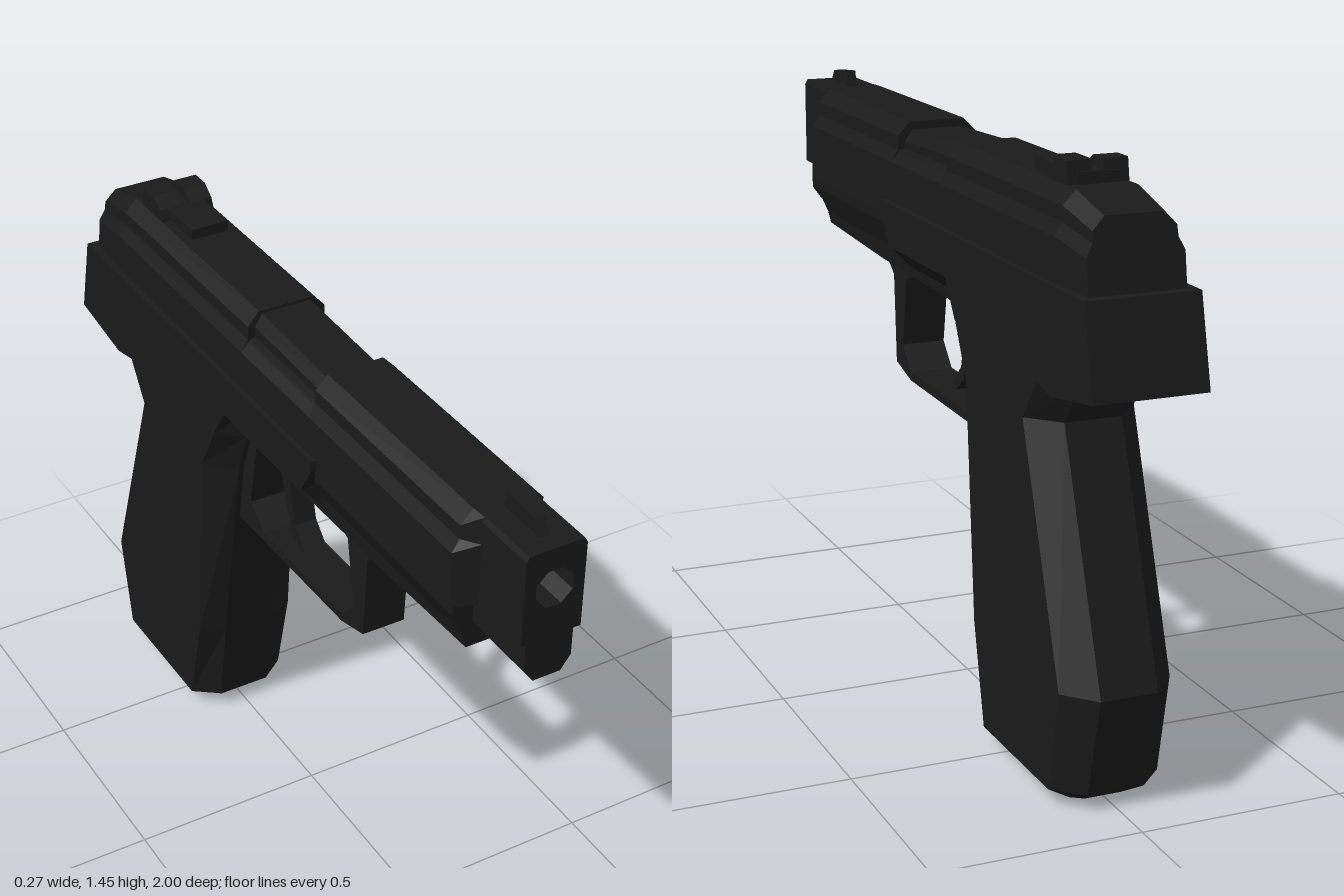
import * as THREE from 'three';

const material = new THREE.MeshStandardMaterial({ color: 0x1a1a1a, flatShading: true });

// Skin a list of equal-length rings of [x, y, z] points and cap both ends
function loft(rings) {
  const tris = [];
  const n = rings[0].length;
  const mid = (r) => [0, 1, 2].map((k) => r.reduce((s, p) => s + p[k], 0) / n);
  const first = rings[0], last = rings[rings.length - 1];
  const c0 = mid(first), c1 = mid(last);
  for (let i = 0; i < n; i++) {
    const j = (i + 1) % n;
    for (let r = 0; r + 1 < rings.length; r++) {
      const a = rings[r], b = rings[r + 1];
      tris.push([a[i], a[j], b[j]], [a[i], b[j], b[i]]);
    }
    tris.push([c0, first[j], first[i]], [c1, last[i], last[j]]);
  }
  // Turn the faces outward
  let volume = 0;
  for (const [a, b, c] of tris) {
    volume += new THREE.Vector3(...a).dot(new THREE.Vector3(...b).cross(new THREE.Vector3(...c)));
  }
  if (volume < 0) tris.forEach((t) => t.reverse());
  const geo = new THREE.BufferGeometry();
  geo.setAttribute('position', new THREE.Float32BufferAttribute(tris.flat(2), 3));
  geo.computeVertexNormals();
  return geo;
}

// Mirror half a section of [x, y] points into a full ring, z may depend on y
function section(half, z) {
  const at = typeof z === 'function' ? z : () => z;
  const right = half.map(([x, y]) => [x, y, at(y)]);
  return [...right, ...right.map(([x, y, d]) => [-x, y, d]).reverse()];
}

// Extrude a [z, y] side outline across x, centred
function sidePlate(points, halfWidth, hole) {
  const toShape = (pts, Type) => new Type(pts.map(([z, y]) => new THREE.Vector2(-z, y)));
  const shape = toShape(points, THREE.Shape);
  if (hole) shape.holes.push(toShape(hole, THREE.Path));
  const geo = new THREE.ExtrudeGeometry(shape, { depth: halfWidth * 2, bevelEnabled: false });
  geo.translate(0, 0, -halfWidth);
  geo.rotateY(Math.PI / 2);
  return geo;
}

export function createModel() {
  const group = new THREE.Group();
  const add = (name, geo) => {
    const mesh = new THREE.Mesh(geo, material);
    mesh.name = name;
    group.add(mesh);
    return mesh;
  };

  // Slide: stepped section, lowered at the ejection port, sloping at the rear
  const full = [[0.123, 1.16], [0.123, 1.3], [0.104, 1.33], [0.104, 1.365], [0.073, 1.398]];
  const port = [[0.123, 1.16], [0.123, 1.3], [0.104, 1.322], [0.1, 1.328], [0.073, 1.335]];
  const nose = [[0.075, 1.17], [0.075, 1.3], [0.075, 1.33], [0.075, 1.36], [0.07, 1.398]];
  const tail = [[0.115, 1.16], [0.115, 1.28], [0.1, 1.31], [0.098, 1.335], [0.07, 1.365]];
  add('slideFront', loft([section(nose, 0.84), section(full, 0.8), section(full, 0.2)]));
  add('slidePort', loft([section(port, 0.2), section(port, -0.12)]));
  add('slideRear', loft([
    section(full, -0.12), section(full, -0.77),
    section(tail, (y) => -0.9 - (1.365 - y) * 0.15),
  ]));

  // Barrel hood showing in the port
  add('barrelHood', loft([
    section([[0.085, 1.3], [0.085, 1.35], [0.065, 1.378]], 0.2),
    section([[0.085, 1.3], [0.085, 1.36], [0.065, 1.39]], -0.12),
  ]));

  // Muzzle block with a bored hole
  const muzzle = new THREE.Shape([
    [-0.075, 1.17], [0.075, 1.17], [0.075, 1.385], [0.068, 1.398], [-0.068, 1.398], [-0.075, 1.385],
  ].map((p) => new THREE.Vector2(...p)));
  const bore = new THREE.Path();
  for (let i = 0; i < 8; i++) {
    const a = (i / 8) * Math.PI * 2 + Math.PI / 8;
    bore[i ? 'lineTo' : 'moveTo'](Math.cos(a) * 0.05, 1.296 + Math.sin(a) * 0.05);
  }
  muzzle.holes.push(bore);
  const muzzleGeo = new THREE.ExtrudeGeometry(muzzle, { depth: 0.18, bevelEnabled: false });
  muzzleGeo.translate(0, 0, 0.82);
  add('muzzleBlock', muzzleGeo);

  // Spring housing under the muzzle
  const housing = [[0.06, 1.175], [0.06, 1.095], [0.035, 1.06]];
  add('springHousing', loft([section(housing, 0.995), section(housing, 0.78)]));

  // Dust cover running back under the slide
  const cover = (bottom) => [[0.115, 1.17], [0.113, 1.13], [0.082, 1.06], [0.075, bottom]];
  add('dustCover', loft([
    section(cover(1.03), 0.8), section(cover(1.012), 0.4), section(cover(1), -0.2),
  ]));

  // Frame body with the rear overhang
  add('frame', sidePlate([
    [0.235, 1.2], [0.235, 1.175], [0.185, 1.09], [-0.19, 1.09], [-0.25, 1],
    [-0.71, 0.972], [-0.79, 0.955], [-1, 0.99], [-0.95, 1.2],
  ], 0.137));
  const under = [[0.136, 1.095], [0.082, 1.035]];
  add('frameUnderside', loft([section(under, 0.19), section(under, -0.24)]));

  // Grip: eight-sided rings of [yFront, front, frontEdge, yBack, backEdge, back, inner, outer]
  const grip = [
    [0, -0.43, -0.45, 0, -0.78, -0.8, 0.045, 0.075],
    [0.04, -0.38, -0.43, 0.04, -0.8, -0.865, 0.07, 0.137],
    [0.29, -0.345, -0.37, 0.29, -0.85, -0.925, 0.07, 0.137],
    [0.87, -0.245, -0.32, 0.87, -0.645, -0.72, 0.07, 0.137],
    [1, -0.2, -0.25, 0.965, -0.71, -0.79, 0.07, 0.136],
    [1.09, -0.18, -0.2, 1.09, -0.75, -0.8, 0.07, 0.13],
  ].map(([yf, f, fe, yb, be, b, inner, outer]) => {
    const right = [[inner, yf, f], [outer, yf, fe], [outer, yb, be], [inner, yb, b]];
    return [...right, ...right.map(([x, y, z]) => [-x, y, z]).reverse()];
  });
  add('grip', loft(grip));

  // Trigger guard loop
  add('triggerGuard', sidePlate([
    [0.4, 1.03], [0.4, 1.005], [0.36, 0.975], [0.345, 0.745], [0.245, 0.718],
    [-0.28, 0.708], [-0.3, 0.76], [-0.24, 1.03],
  ], 0.057, [
    [0.2, 1.005], [0.27, 0.98], [0.3, 0.8], [0.245, 0.74],
    [-0.14, 0.735], [-0.21, 0.79], [-0.17, 1],
  ]));

  // Curved trigger
  add('trigger', sidePlate([
    [-0.03, 1.02], [-0.03, 0.995], [-0.055, 0.965], [-0.055, 0.92], [-0.03, 0.82],
    [0.02, 0.77], [0, 0.755], [-0.045, 0.79], [-0.09, 0.91], [-0.105, 1.02],
  ], 0.03));

  // Sights
  add('frontSight', sidePlate([[0.96, 1.39], [0.93, 1.43], [0.83, 1.44], [0.82, 1.39]], 0.013));
  add('rearSightBase', sidePlate([[-0.505, 1.39], [-0.505, 1.425], [-0.73, 1.425], [-0.73, 1.39]], 0.05));
  for (const side of [-1, 1]) {
    const post = add(side > 0 ? 'rearSightLeft' : 'rearSightRight', sidePlate([
      [-0.62, 1.39], [-0.635, 1.425], [-0.67, 1.45], [-0.72, 1.45], [-0.73, 1.39],
    ], 0.03));
    post.position.x = side * 0.043;
  }

  return group;
}
